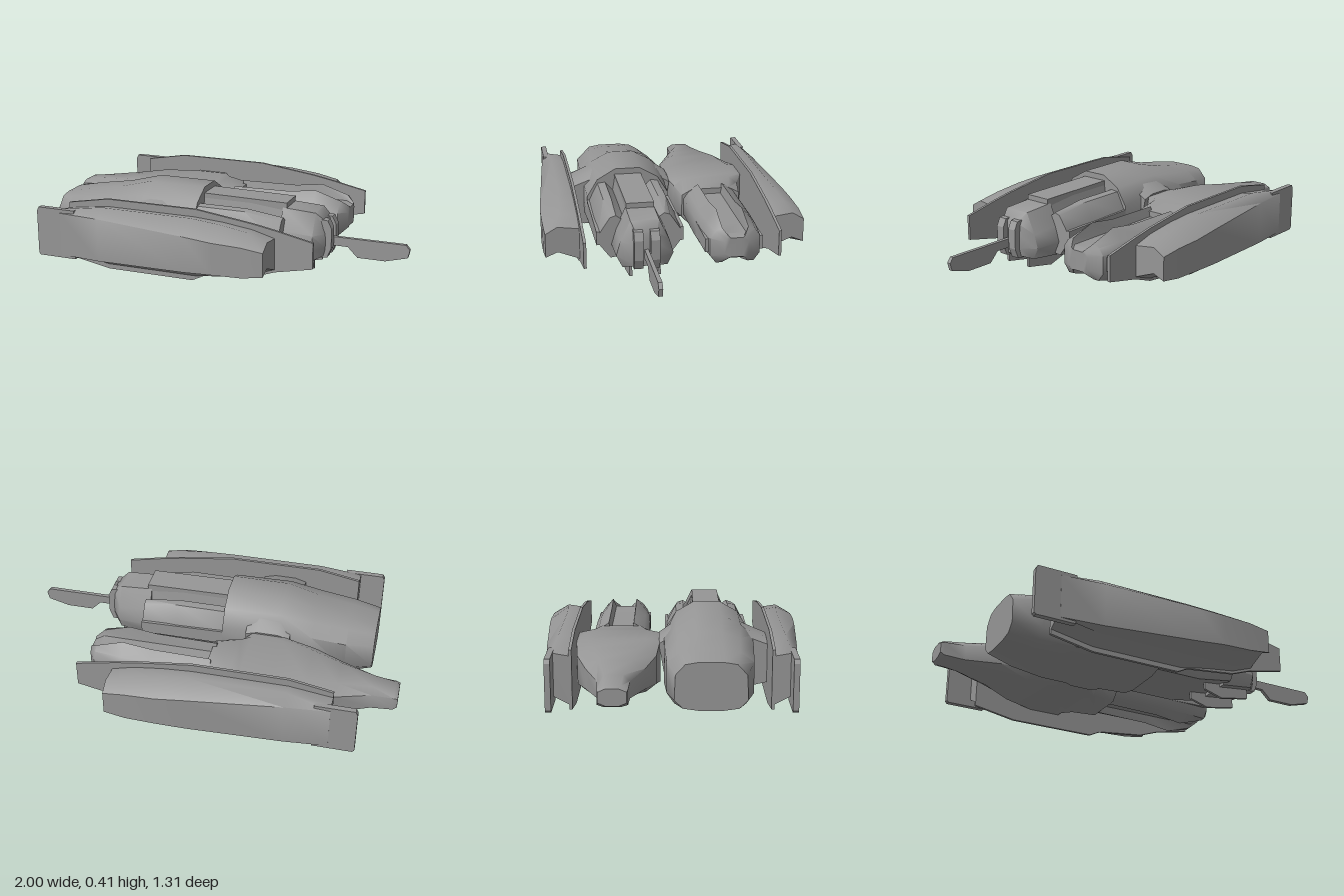
import * as THREE from 'three';
import { toCreasedNormals } from 'three/addons/utils/BufferGeometryUtils.js';

const material = new THREE.MeshStandardMaterial({ color: 0x969696, side: THREE.DoubleSide });

// Skin rings of [z, y] points placed along x; rings run counter-clockwise seen from +x.
function loft(name, sections) {
  const n = sections[0].ring.length;
  const pos = [];
  const index = [];
  sections.forEach(({ x, ring }) => ring.forEach(([z, y]) => pos.push(x, y, z)));
  for (let s = 0; s < sections.length - 1; s++) {
    for (let i = 0; i < n; i++) {
      const a = s * n + i, b = s * n + (i + 1) % n;
      index.push(a, b, b + n, a, b + n, a + n);
    }
  }
  const cap = (s, flip) => {
    const contour = sections[s].ring.map(([z, y]) => new THREE.Vector2(-z, y));
    THREE.ShapeUtils.triangulateShape(contour, []).forEach(([a, b, c]) => {
      const o = s * n;
      if (flip) index.push(o + a, o + c, o + b);
      else index.push(o + a, o + b, o + c);
    });
  };
  cap(0, true);
  cap(sections.length - 1, false);
  const geo = new THREE.BufferGeometry();
  geo.setAttribute('position', new THREE.Float32BufferAttribute(pos, 3));
  geo.setIndex(index);
  const mesh = new THREE.Mesh(toCreasedNormals(geo, 0.9), material);
  mesh.name = name;
  return mesh;
}

// Section symmetric about zc, from a half profile of [half width, y], top to bottom.
function sym(x, zc, half) {
  const right = half.map(([w, y]) => [zc + w, y]);
  const left = half.map(([w, y]) => [zc - w, y]).reverse();
  return { x, ring: [...right, ...left] };
}

// Flat plate with an outline in x and y, centred on z.
function plate(name, outline, z, depth) {
  const shape = new THREE.Shape(outline.map(([x, y]) => new THREE.Vector2(x, y)));
  const geo = new THREE.ExtrudeGeometry(shape, { depth, bevelEnabled: false });
  geo.translate(0, 0, z - depth / 2);
  const mesh = new THREE.Mesh(geo, material);
  mesh.name = name;
  return mesh;
}

// Side pod: flat inner face, faceted outer bulge. side = +1 or -1 in z.
function sidePod(side) {
  const group = new THREE.Group();
  group.name = side > 0 ? 'frontPod' : 'rearPod';
  // x, bottom, top, outer z, shoulder z, half height of the outer face
  const rows = [
    [-0.70, 0.05, 0.33, 0.585, 0.56, 0.11],
    [-0.48, 0.01, 0.36, 0.605, 0.55, 0.11],
    [0.00, 0.01, 0.36, 0.645, 0.55, 0.09],
    [0.15, 0.04, 0.35, 0.655, 0.56, 0.08],
    [0.30, 0.06, 0.33, 0.655, 0.57, 0.075],
    [0.41, 0.10, 0.30, 0.65, 0.59, 0.06],
  ];
  const sections = rows.map(([x, lo, hi, out, mid, h]) => {
    const ring = [
      [0.475, hi - 0.03], [mid, hi - 0.015], [out, 0.19 + h],
      [out, 0.19 - h], [mid, lo + 0.055], [0.475, lo + 0.01],
    ].map(([z, y]) => [z * side, y]);
    return { x, ring: side > 0 ? ring : ring.reverse() };
  });
  group.add(loft('podBody', sections));
  // Inner armour plate, drawn out to a thin tongue at the nose
  group.add(plate('podInnerPlate', [
    [-0.70, 0.04], [-0.48, 0], [-0.02, 0], [0.04, 0.03], [0.30, 0.06], [0.41, 0.10],
    [0.60, 0.14], [0.60, 0.27], [0.41, 0.31], [0.30, 0.33], [0.0, 0.37], [-0.48, 0.37], [-0.70, 0.33],
  ], side * 0.476, 0.014));
  group.add(plate('podTailPlate', [
    [-0.82, 0.065], [-0.62, 0.065], [-0.62, 0.32], [-0.82, 0.32], [-0.83, 0.30], [-0.83, 0.075],
  ], side * 0.57, 0.028));
  return group;
}

function mainHull() {
  const z = 0.18;
  const group = new THREE.Group();
  group.name = 'mainHull';
  group.add(loft('hullBody', [
    sym(-0.84, z, [[0.06, 0.31], [0.12, 0.30], [0.165, 0.25], [0.17, 0.13], [0.13, 0.09], [0.06, 0.08]]),
    sym(-0.70, z, [[0.06, 0.34], [0.14, 0.32], [0.205, 0.27], [0.205, 0.12], [0.17, 0.07], [0.08, 0.06]]),
    sym(-0.52, z, [[0.06, 0.37], [0.15, 0.34], [0.215, 0.29], [0.22, 0.12], [0.20, 0.06], [0.10, 0.05]]),
    sym(-0.35, z, [[0.065, 0.415], [0.16, 0.365], [0.22, 0.31], [0.22, 0.12], [0.20, 0.06], [0.10, 0.05]]),
    sym(-0.05, z, [[0.065, 0.415], [0.16, 0.36], [0.215, 0.27], [0.22, 0.15], [0.19, 0.07], [0.10, 0.05]]),
  ]));
  // Wide beam through the hull, reaching the front pod and the second hull
  const beam = [
    [0.475, 0.295], [0.475, 0.07], [0.40, 0.05], [-0.03, 0.055], [-0.065, 0.30],
    [0.0, 0.345], [0.12, 0.41], [0.24, 0.41], [0.36, 0.345],
  ];
  const narrow = beam.map(([bz, y]) => [bz, 0.18 + (y - 0.18) * 0.85]);
  group.add(loft('crossBeam', [
    { x: -0.41, ring: narrow }, { x: -0.35, ring: beam }, { x: -0.24, ring: beam }, { x: -0.18, ring: narrow },
  ]));
  // Forward body with a groove either side of the spine
  const fore = [[0.07, 0.36], [0.08, 0.30], [0.12, 0.345], [0.16, 0.34], [0.215, 0.23], [0.215, 0.17], [0.15, 0.07], [0.07, 0.09]];
  group.add(loft('foreBody', [
    sym(-0.06, z, fore),
    sym(0.20, z, fore),
    sym(0.39, z, [[0.07, 0.34], [0.08, 0.29], [0.12, 0.32], [0.15, 0.31], [0.21, 0.22], [0.21, 0.18], [0.15, 0.10], [0.07, 0.11]]),
  ]));
  group.add(plate('spine', [[-0.06, 0.30], [0.39, 0.30], [0.39, 0.38], [-0.06, 0.385]], z, 0.14));
  for (const s of [-1, 1]) {
    group.add(plate('sideStrip', [[-0.05, 0.15], [0.39, 0.17], [0.39, 0.24], [-0.05, 0.25]], z + s * 0.21, 0.016));
    group.add(plate('lowerFin', [[0.28, 0.12], [0.28, 0.06], [0.38, 0.03], [0.54, 0.06], [0.54, 0.12]], z + s * 0.07, 0.014));
    // Paired nose tips around the boom
    group.add(plate('noseTip', [[0.50, 0.11], [0.60, 0.12], [0.62, 0.17], [0.62, 0.27], [0.60, 0.31], [0.50, 0.32]], z + s * 0.04, 0.045));
  }
  group.add(loft('noseBlock', [
    sym(0.37, z, [[0.07, 0.355], [0.12, 0.25], [0.145, 0.17], [0.11, 0.09]]),
    sym(0.54, z, [[0.07, 0.345], [0.12, 0.24], [0.14, 0.17], [0.11, 0.11]]),
    sym(0.59, z, [[0.05, 0.30], [0.06, 0.24], [0.065, 0.17], [0.05, 0.13]]),
  ]));
  group.add(plate('sensorBoom', [
    [0.58, 0.17], [0.69, 0.17], [0.74, 0.12], [0.88, 0.12], [0.99, 0.15], [1.0, 0.19], [0.98, 0.215], [0.58, 0.215],
  ], z, 0.02));
  return group;
}

function secondHull() {
  const z = -0.265;
  const group = new THREE.Group();
  group.name = 'secondHull';
  // Tapering tail, square shoulders against the pod and main hull
  group.add(loft('hullBody', [
    sym(-1.00, z, [[0.03, 0.235], [0.065, 0.22], [0.065, 0.17], [0.03, 0.155]]),
    sym(-0.98, z, [[0.04, 0.245], [0.07, 0.225], [0.07, 0.155], [0.04, 0.145]]),
    sym(-0.87, z, [[0.045, 0.26], [0.075, 0.23], [0.075, 0.15], [0.045, 0.135]]),
    sym(-0.70, z, [[0.08, 0.28], [0.14, 0.24], [0.14, 0.14], [0.08, 0.11]]),
    sym(-0.55, z, [[0.12, 0.30], [0.19, 0.26], [0.19, 0.12], [0.14, 0.08]]),
    sym(-0.38, z, [[0.16, 0.30], [0.207, 0.29], [0.207, 0.08], [0.16, 0.075]]),
    sym(-0.22, z, [[0.16, 0.30], [0.207, 0.29], [0.207, 0.08], [0.16, 0.075]]),
    sym(-0.17, z, [[0.13, 0.295], [0.175, 0.26], [0.175, 0.12], [0.13, 0.08]]),
    sym(-0.04, z, [[0.10, 0.28], [0.155, 0.25], [0.155, 0.13], [0.11, 0.08]]),
  ]));
  // Twin ridges above and below a recessed centre
  const fore = (x, w, ridge) => sym(x, z, [
    [0.055, 0.25], [0.065, 0.19 + ridge], [w - 0.025, 0.265], [w, 0.23],
    [w, 0.14], [w - 0.03, 0.10], [0.065, 0.19 - ridge], [0.055, 0.12],
  ]);
  group.add(loft('foreBody', [
    fore(-0.06, 0.145, 0.11), fore(0.25, 0.145, 0.115), fore(0.40, 0.14, 0.135), fore(0.54, 0.125, 0.09),
    sym(0.58, z, [[0.03, 0.24], [0.04, 0.25], [0.05, 0.24], [0.06, 0.22], [0.06, 0.16], [0.05, 0.14], [0.04, 0.135], [0.03, 0.14]]),
  ]));
  for (const s of [-1, 1]) {
    group.add(plate('foreSideStrip', [[-0.04, 0.14], [0.52, 0.15], [0.52, 0.22], [-0.04, 0.23]], z + s * 0.135, 0.018));
  }
  return group;
}

export function createModel() {
  const ship = new THREE.Group();
  ship.name = 'ship';
  ship.add(mainHull(), secondHull(), sidePod(1), sidePod(-1));
  return ship;
}
